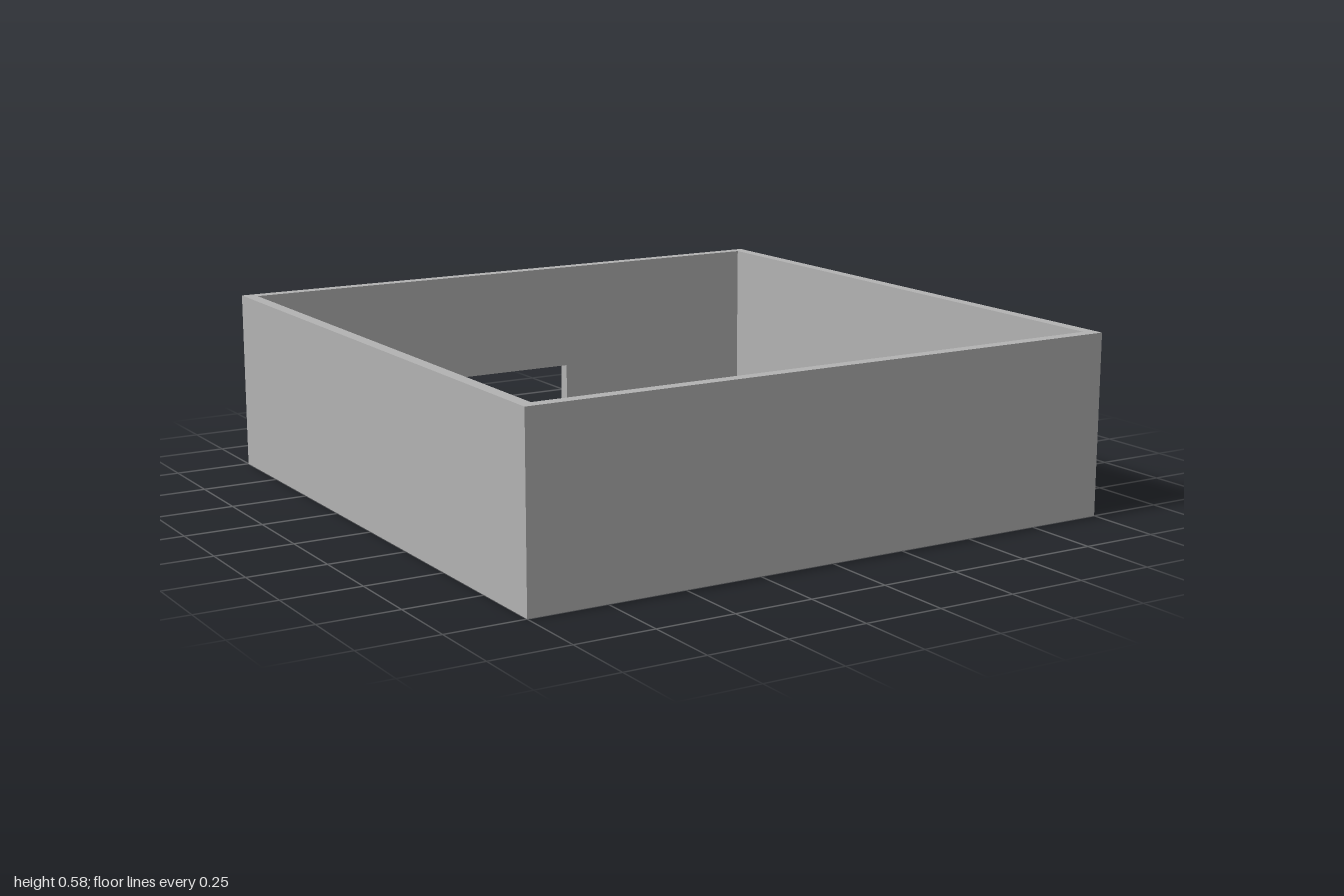
import * as THREE from 'three';

const SIZE = 2, HEIGHT = 0.58, WALL = 0.04, FLOOR = 0.04;
const DOOR_HALF = 0.218, DOOR_TOP = 0.22;
const BARRIER_H = 0.07;

export function createModel() {
  const model = new THREE.Group();
  model.name = 'walledArena';
  const grey = new THREE.MeshStandardMaterial({ color: 0xb2b2b2 });
  grey.name = 'plain grey';

  function add(parent, name, geometry, x, y, z) {
    const mesh = new THREE.Mesh(geometry, grey);
    mesh.name = name;
    mesh.position.set(x, y, z);
    parent.add(mesh);
    return mesh;
  }
  // Box placed by the centre of its underside
  const box = (parent, name, w, h, d, x, y, z) =>
    add(parent, name, new THREE.BoxGeometry(w, h, d), x, y + h / 2, z);

  // Floor slab and three solid walls
  const wallH = HEIGHT - FLOOR;
  const mid = SIZE / 2 - WALL / 2;
  const inner = SIZE - 2 * WALL;
  box(model, 'floor', SIZE, FLOOR, SIZE, 0, 0, 0);
  box(model, 'leftWall', WALL, wallH, SIZE, mid, FLOOR, 0);
  box(model, 'rightWall', WALL, wallH, SIZE, -mid, FLOOR, 0);
  box(model, 'frontWall', inner, wallH, WALL, 0, FLOOR, mid);

  // Back wall with a doorway rising from the floor
  const outline = new THREE.Shape([
    [-inner / 2, FLOOR], [-DOOR_HALF, FLOOR], [-DOOR_HALF, DOOR_TOP], [DOOR_HALF, DOOR_TOP],
    [DOOR_HALF, FLOOR], [inner / 2, FLOOR], [inner / 2, HEIGHT], [-inner / 2, HEIGHT],
  ].map(([x, y]) => new THREE.Vector2(x, y)));
  const backWall = new THREE.ExtrudeGeometry(outline, { depth: WALL, bevelEnabled: false });
  add(model, 'backWall', backWall, 0, 0, -SIZE / 2);

  // Six barriers, each a rail with two posts, turned about the arena's centre
  const slant = Math.atan(2);
  const turns = [0, slant, Math.PI - slant];
  for (const turn of [...turns, ...turns.map((t) => t + Math.PI)]) {
    const barrier = new THREE.Group();
    barrier.name = 'barrier';
    box(barrier, 'rail', 0.284, BARRIER_H, 0.027, -0.698, FLOOR, -0.302);
    for (const side of [-1, 1]) {
      box(barrier, 'post', 0.04, BARRIER_H, 0.027, -0.698 + side * 0.122, FLOOR, -0.219);
    }
    barrier.rotation.y = -turn;
    model.add(barrier);
  }
  return model;
}
